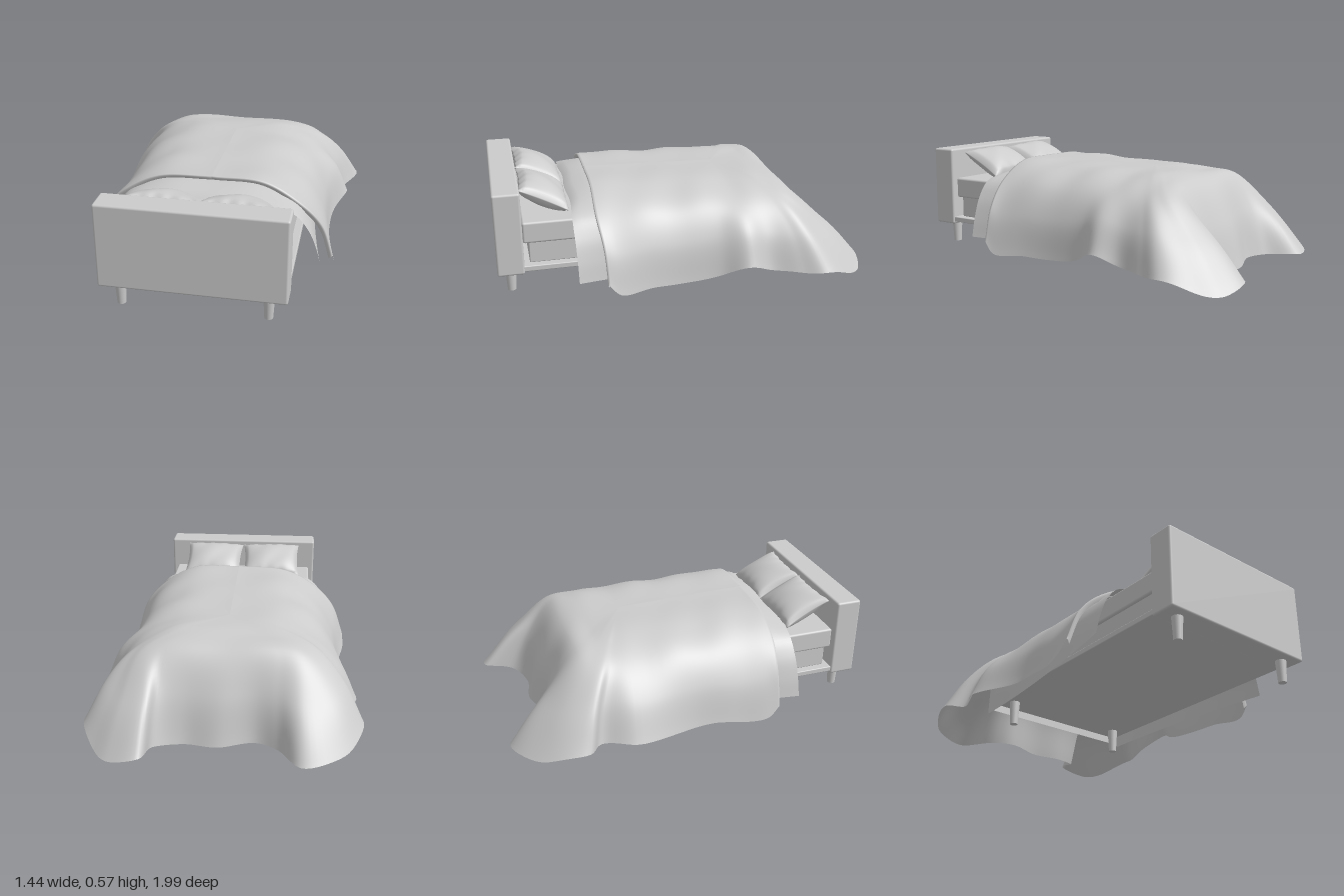
import * as THREE from 'three';
import { mergeVertices } from 'three/addons/utils/BufferGeometryUtils.js';
import { RoundedBoxGeometry } from 'three/addons/geometries/RoundedBoxGeometry.js';

const grey = new THREE.MeshStandardMaterial({ color: 0xcccccc });
const cloth = new THREE.MeshStandardMaterial({ color: 0xcccccc, side: THREE.DoubleSide });
const V = (x, y, z) => new THREE.Vector3(x, y, z);

function add(parent, name, geometry, x = 0, y = 0, z = 0, material = grey) {
  const mesh = new THREE.Mesh(geometry, material);
  mesh.name = name;
  mesh.position.set(x, y, z);
  parent.add(mesh);
  return mesh;
}

// Box given by its extents
function block(parent, name, w, y0, y1, z0, z1, r) {
  add(parent, name, new RoundedBoxGeometry(w, y1 - y0, z1 - z0, 2, r), 0, (y0 + y1) / 2, (z0 + z1) / 2);
}

// Smooth surface through rows of points
function skin(rows) {
  const n = rows[0].length, pos = [], index = [];
  rows.forEach((row, i) => row.forEach((p, j) => {
    pos.push(p.x, p.y, p.z);
    if (i && j) {
      const a = (i - 1) * n + j - 1, b = a + n;
      index.push(a, a + 1, b, a + 1, b + 1, b);
    }
  }));
  const g = new THREE.BufferGeometry();
  g.setAttribute('position', new THREE.Float32BufferAttribute(pos, 3));
  g.setIndex(index);
  g.computeVertexNormals();
  return g;
}

// Blanket stations round the bed: hem x, y, z, then mattress-edge x, z
const STATIONS = [
  [0.64, 0.12, 0.455, 0.46, 0.485],
  [0.645, 0.06, 0.39, 0.46, 0.40],
  [0.61, 0.055, 0.20, 0.46, 0.20],
  [0.595, 0.06, 0.00, 0.46, 0.00],
  [0.61, 0.09, -0.15, 0.46, -0.15],
  [0.675, 0.14, -0.29, 0.46, -0.27],
  [0.635, 0.10, -0.42, 0.47, -0.38],
  [0.68, 0.09, -0.57, 0.47, -0.46],
  [0.72, 0.09, -0.70, 0.47, -0.51],
  [0.64, 0.03, -0.87, 0.45, -0.54],
  [0.55, 0.02, -0.96, 0.42, -0.56],
  [0.385, 0.05, -0.985, 0.37, -0.57],
  [0.34, 0.03, -0.83, 0.30, -0.575],
  [0.20, 0.015, -0.77, 0.18, -0.58],
  [0.02, 0.005, -0.79, 0.00, -0.58],
  [-0.17, 0.02, -0.75, -0.16, -0.58],
  [-0.28, 0.03, -0.81, -0.27, -0.575],
  [-0.41, 0.02, -0.965, -0.38, -0.57],
  [-0.63, 0.04, -0.85, -0.45, -0.54],
  [-0.72, 0.10, -0.61, -0.48, -0.48],
  [-0.64, 0.09, -0.53, -0.46, -0.42],
  [-0.70, 0.08, -0.35, -0.46, -0.32],
  [-0.62, 0.06, 0.00, -0.46, 0.00],
  [-0.63, 0.055, 0.22, -0.46, 0.22],
  [-0.66, 0.06, 0.39, -0.46, 0.40],
  [-0.655, 0.12, 0.455, -0.46, 0.485],
];

function blanketGeometry() {
  const hem = new THREE.CatmullRomCurve3(STATIONS.map(([x, y, z]) => V(x, y, z)));
  const edge = new THREE.CatmullRomCurve3(STATIONS.map(([, , , x, z]) =>
    V(x, 0.424 + 0.04 * (1 - Math.pow(Math.min(1, Math.abs(x) / 0.46), 4)), z)));
  const rows = [], N = 180;
  for (let i = 0; i <= N; i++) {
    const h = hem.getPoint(i / N), e = edge.getPoint(i / N);
    const spine = V(0, 0, Math.max(-0.25, e.z));
    spine.y = 0.515 + 0.02 * (spine.z + 0.25) / 0.73;
    const top = spine.clone().lerp(e, 0.6);
    top.y = spine.y - 0.014;
    // the drape bulges outwards halfway down, most where it hangs steeply
    const out = h.clone().sub(e).setY(0);
    const steep = Math.max(0, 1 - out.length() / 0.4);
    const mid = e.clone().lerp(h, 0.55).addScaledVector(out.normalize(), 0.035 * steep);
    mid.y += 0.035 + 0.015 * steep;
    const row = new THREE.CatmullRomCurve3([spine, top, e, mid, h]).getPoints(40);
    row.forEach((p, j) => {
      const w = Math.min(1, j / 12);
      p.y += w * (0.005 * Math.sin(9 * p.x + 14 * p.z) + 0.003 * Math.sin(23 * p.z - 8 * p.x));
    });
    rows.push(row);
  }
  // turned-in lip along the head edge
  const lip = (row, k) => row.map(p => V(p.x * (1 - 0.03 * k), p.y - 0.022 * k, p.z + 0.008 - 0.014 * k));
  rows.unshift(lip(rows[0], 0.4));
  rows.unshift(lip(rows[1], 1));
  rows.push(lip(rows[N + 2], 0.4));
  rows.push(lip(rows[N + 2], 1));
  return skin(rows);
}

// Under-sheet along the whole bed, flaring towards the pillows
function sheetGeometry() {
  const rows = [];
  for (let i = 0; i <= 48; i++) {
    const t = i / 48, z = 0.6 - 1.14 * t;
    const y = 0.455 + 0.042 * Math.sqrt(Math.min(1, t * 9)) - 0.035 * t * t;
    const w = 0.475 + 0.115 * Math.pow(1 - t, 1.8);
    const hemY = 0.115 - 0.025 * t;
    const half = [V(0.25, y - 0.008, z), V(0.44, Math.min(0.42, y - 0.038), z),
      V(0.46 + (w - 0.46) * 0.45, 0.33, z), V(0.46 + (w - 0.46) * 0.8, 0.22, z), V(w, hemY, z)];
    const points = [...half.map(p => V(-p.x, p.y, p.z)).reverse(), V(0, y, z), ...half];
    const row = new THREE.CatmullRomCurve3(points).getPoints(60);
    row.forEach(p => { p.z += (1 - t) * 0.005 * Math.sin(p.x * 17); });
    rows.push(row);
  }
  // flap hanging over the foot of the mattress
  const last = rows[rows.length - 1];
  for (let k = 1; k <= 8; k++)
    rows.push(last.map(p => V(p.x, Math.min(p.y, 0.46 - 0.0425 * k), p.z - 0.012 * Math.sqrt(k / 8))));
  return skin(rows);
}

// Cushion with thin seams, pointed corners and drawn-in sides
function pillowGeometry(w, d, h) {
  const g = new THREE.BoxGeometry(2, 2, 2, 24, 1, 20);
  const p = g.attributes.position;
  for (let i = 0; i < p.count; i++) {
    const u = p.getX(i), v = p.getZ(i), s = Math.sign(p.getY(i));
    const puff = Math.pow((1 - u * u) * (1 - v * v), 0.45);
    const crease = 1 + 0.05 * Math.sin(5 * u + 3 * v);
    p.setXYZ(i,
      u * w / 2 * (1 - 0.07 * (1 - v * v)),
      s * (0.003 + h / 2 * puff * crease),
      v * d / 2 * (1 - 0.08 * (1 - u * u)) + 0.003 * Math.sin(14 * u) * v * v);
  }
  g.deleteAttribute('uv');
  g.deleteAttribute('normal');
  const merged = mergeVertices(g);
  merged.computeVertexNormals();
  return merged;
}

export function createModel() {
  const bed = new THREE.Group();
  bed.name = 'bed';

  // Frame and mattress
  block(bed, 'headboard', 0.935, 0.137, 0.582, 0.86, 1.0, 0.012);
  block(bed, 'platform', 0.92, 0.15, 0.18, -0.53, 0.865, 0.005);
  block(bed, 'base', 0.84, 0.18, 0.3, -0.5, 0.83, 0.005);
  block(bed, 'mattress', 0.87, 0.295, 0.41, -0.52, 0.86, 0.012);

  // Tapered legs
  const leg = new THREE.CylinderGeometry(0.03, 0.022, 0.14, 20);
  for (const x of [-0.37, 0.37])
    for (const z of [0.93, -0.435]) add(bed, 'leg', leg, x, 0.085, z);

  // Pillows leaning on the headboard
  for (const [x, turn] of [[-0.19, 0.02], [0.18, -0.02]]) {
    const pillow = add(bed, 'pillow', pillowGeometry(0.36, 0.28, 0.13), x, 0.49, 0.733);
    pillow.rotation.set(-0.47, turn, 0);
  }

  // Bedding
  add(bed, 'sheet', sheetGeometry(), 0, 0, 0, cloth);
  add(bed, 'blanket', blanketGeometry(), 0, 0, 0, cloth);
  return bed;
}
